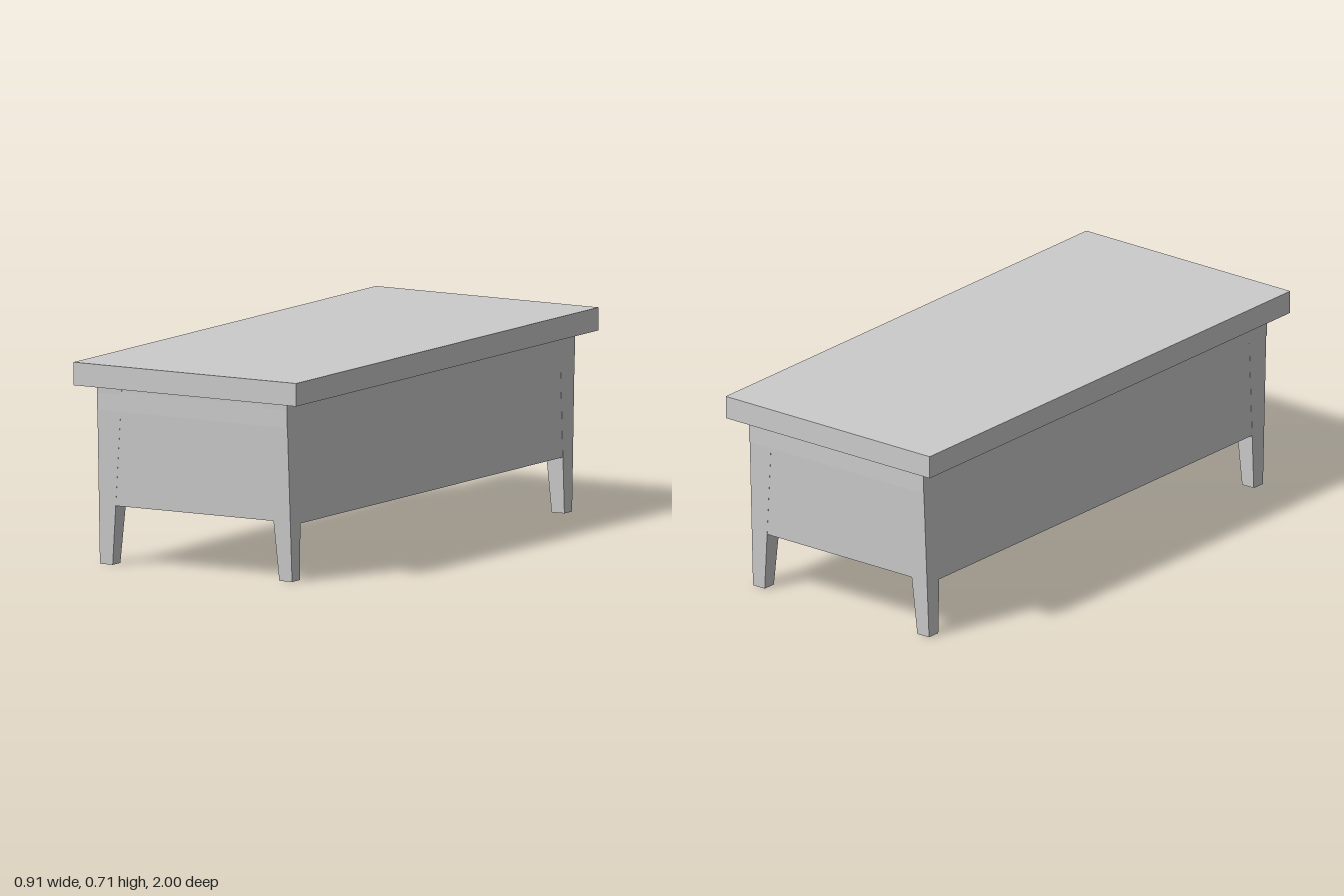
import * as THREE from 'three';

const material = new THREE.MeshStandardMaterial({ color: 0xcccccc, flatShading: true });

// Box whose bottom and top rectangles [x0, x1, z0, z1] differ, for tapered or leaning parts.
function taperedBox(name, y0, y1, bottom, top) {
  const geometry = new THREE.BoxGeometry(1, 1, 1);
  const p = geometry.attributes.position;
  for (let i = 0; i < p.count; i++) {
    const r = p.getY(i) > 0 ? top : bottom;
    p.setXYZ(i, p.getX(i) > 0 ? r[1] : r[0], p.getY(i) > 0 ? y1 : y0, p.getZ(i) > 0 ? r[3] : r[2]);
  }
  geometry.computeVertexNormals();
  const mesh = new THREE.Mesh(geometry, material);
  mesh.name = name;
  return mesh;
}

// Mirrors a rectangle into another quadrant, keeping min before max.
function mirrorRect([x0, x1, z0, z1], sx, sz) {
  const [a, b] = sx > 0 ? [x0, x1] : [-x1, -x0];
  const [c, d] = sz > 0 ? [z0, z1] : [-z1, -z0];
  return [a, b, c, d];
}

export function createModel() {
  const group = new THREE.Group();
  group.name = 'coffeeTable';

  // Slab top
  const slab = [-0.454, 0.454, -1, 1];
  group.add(taperedBox('tableTop', 0.632, 0.713, slab, slab));

  // Solid core under the slab, closing the hollow between the aprons
  const core = [-0.388, 0.388, -0.952, 0.952];
  group.add(taperedBox('core', 0.545, 0.628, core, core));

  for (const s of [1, -1]) {
    const side = s > 0 ? 'left' : 'right';
    const end = s > 0 ? 'front' : 'back';

    // Tapered, slightly splayed legs
    for (const sz of [1, -1]) {
      group.add(taperedBox(side + (sz > 0 ? 'Front' : 'Back') + 'Leg', 0, 0.628,
        mirrorRect([0.34, 0.392, 0.875, 0.926], s, sz),
        mirrorRect([0.286, 0.387, 0.853, 0.953], s, sz)));
    }

    // Long side apron, nearly flush with the legs and reaching the slab
    group.add(taperedBox(side + 'Apron', 0.198, 0.632,
      mirrorRect([0.323, 0.3895, -0.9, 0.9], s, 1),
      mirrorRect([0.316, 0.3865, -0.9, 0.9], s, 1)));

    // End apron, its outer face leaning with the legs
    group.add(taperedBox(end + 'Apron', 0.21, 0.628,
      mirrorRect([-0.35, 0.35, 0.867, 0.9345], 1, s),
      mirrorRect([-0.35, 0.35, 0.867, 0.9525], 1, s)));
  }
  return group;
}
